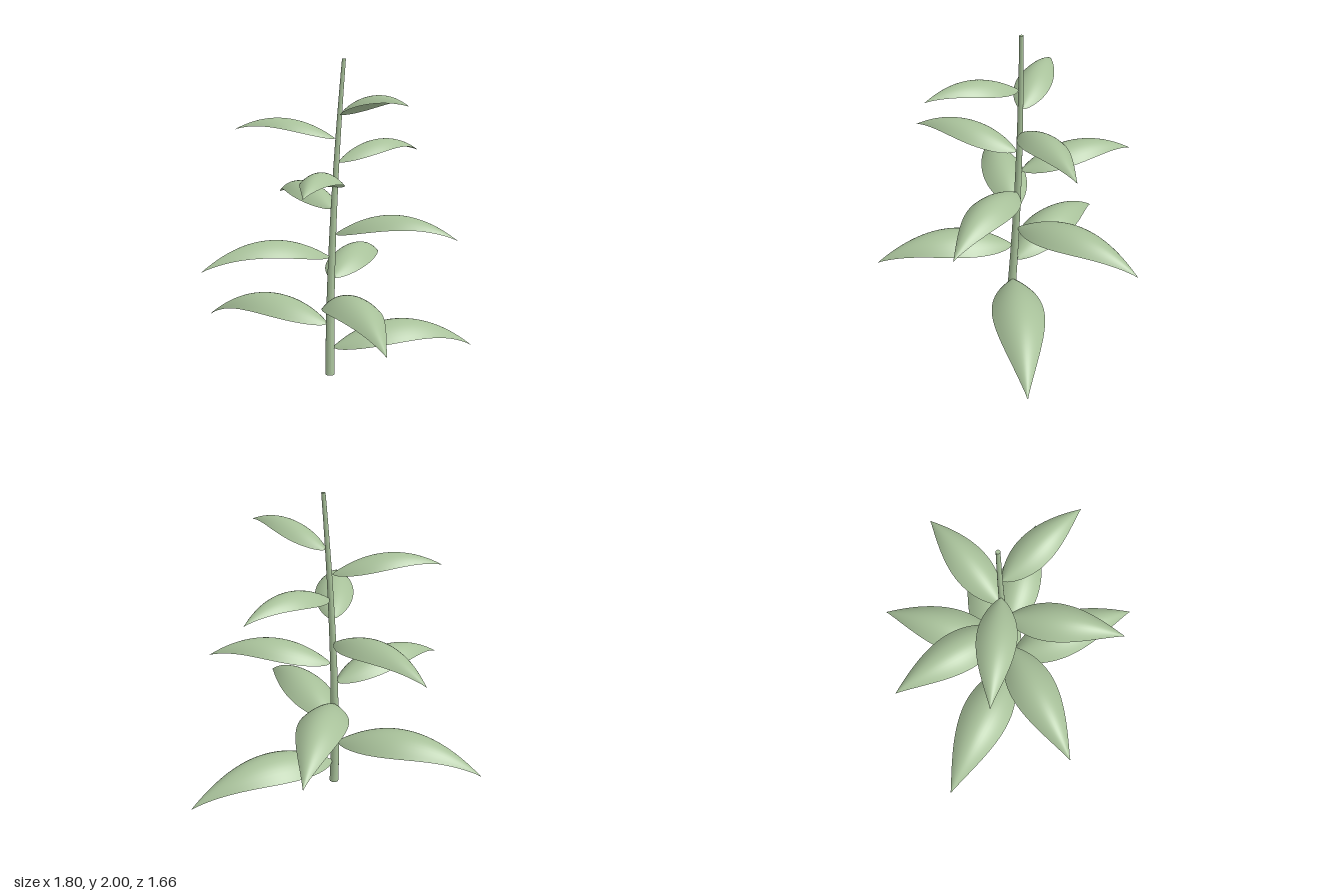
import * as THREE from 'three';

// Stem centre line, leaning and gently bowed, for height y
function stemAt(y) {
  const t = y / 2;
  return new THREE.Vector3(-0.095 + 0.105 * Math.pow(t, 1.6), y, -0.055 - 0.112 * t + 0.074 * t * t);
}

// Arched, cupped blade from base to tip; peak is its rise above the base
function leafGeometry(base, tip, peak) {
  const along = new THREE.Vector3(tip.x - base.x, 0, tip.z - base.z);
  const length = along.length();
  const side = new THREE.Vector3(-along.z, 0, along.x).divideScalar(length);
  const fall = base.y - tip.y;
  const rise = 2 * peak + 2 * Math.sqrt(peak * peak + peak * fall);
  const geo = new THREE.PlaneGeometry(1, 2, 32, 14);
  const pos = geo.attributes.position;
  const p = new THREE.Vector3();
  for (let i = 0; i < pos.count; i++) {
    const t = pos.getX(i) + 0.5;
    const u = -pos.getY(i);
    const w = Math.max(0.01, Math.sin(Math.PI * Math.pow(t, 0.75)));
    p.copy(base).addScaledVector(along, t).addScaledVector(side, u * w * 0.173 * length);
    p.y += rise * t - (rise + fall) * t * t - 0.1 * length * w * u * u;
    pos.setXYZ(i, p.x, p.y, p.z);
  }
  geo.computeVertexNormals();
  return geo;
}

export function createModel() {
  const group = new THREE.Group();
  const green = new THREE.MeshStandardMaterial({ color: 0xa8c19a, side: THREE.DoubleSide });
  green.name = 'leaf green';

  // Tapered stem bent along its centre line
  const stemGeo = new THREE.CylinderGeometry(0.012, 0.03, 2, 16, 24);
  const pos = stemGeo.attributes.position;
  for (let i = 0; i < pos.count; i++) {
    const c = stemAt(pos.getY(i) + 1);
    pos.setXYZ(i, pos.getX(i) + c.x, c.y, pos.getZ(i) + c.z);
  }
  stemGeo.computeVertexNormals();
  const stem = new THREE.Mesh(stemGeo, green);
  stem.name = 'stem';
  group.add(stem);

  // Spiral of leaves, bottom to top: base height, tip x, y, z, rise
  const leaves = [
    [0.175, 0.9, 0.095, -0.07, 0.15],
    [0.33, -0.79, 0.26, -0.72, 0.147],
    [0.475, -0.01, 0.435, 0.83, 0.148],
    [0.63, 0.45, 0.6, -0.78, 0.142],
    [0.775, -0.9, 0.763, 0.05, 0.14],
    [0.92, 0.6, 0.925, 0.33, 0.14],
    [1.075, -0.26, 1.09, -0.83, 0.133],
    [1.22, -0.39, 1.25, 0.53, 0.132],
    [1.37, 0.59, 1.41, -0.34, 0.13],
    [1.517, -0.63, 1.567, -0.35, 0.125],
    [1.663, 0.235, 1.73, 0.445, 0.125],
  ];
  leaves.forEach(([y, tx, ty, tz, peak], i) => {
    const tip = new THREE.Vector3(tx, ty, tz);
    const base = stemAt(y);
    const out = tip.clone().sub(base).setY(0).normalize();
    base.addScaledVector(out, 0.015);
    const leaf = new THREE.Mesh(leafGeometry(base, tip, peak), green);
    leaf.name = `leaf${i + 1}`;
    group.add(leaf);
  });
  return group;
}
